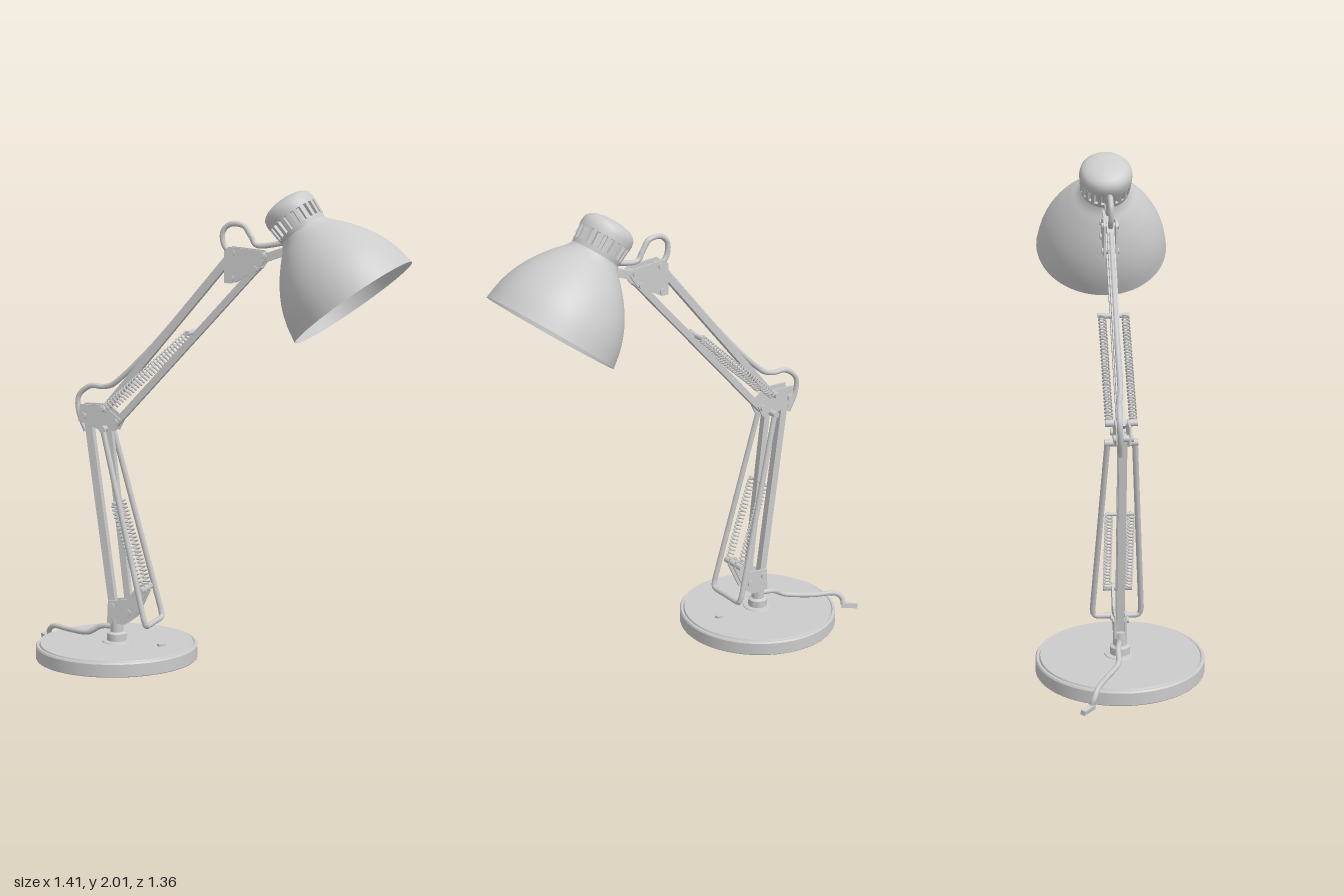
import * as THREE from 'three';
import { toCreasedNormals } from 'three/addons/utils/BufferGeometryUtils.js';

const grey = new THREE.MeshStandardMaterial({ color: 0xcccccc });
const greyDouble = new THREE.MeshStandardMaterial({ color: 0xcccccc, side: THREE.DoubleSide });
const bulbGlass = new THREE.MeshStandardMaterial({ color: 0xcccc80 });

const V = (x, y, z = 0) => new THREE.Vector3(x, y, z);
const UP = V(0, 1, 0);

function add(parent, name, geometry, material = grey) {
  const mesh = new THREE.Mesh(geometry, material);
  mesh.name = name;
  parent.add(mesh);
  return mesh;
}

function lathe(points, segments = 64) {
  return new THREE.LatheGeometry(points.map(([r, y]) => new THREE.Vector2(r, y)), segments);
}

// Straight bar between two points, square or round
function strut(parent, name, a, b, width, round = false) {
  const length = a.distanceTo(b);
  const geometry = round
    ? new THREE.CylinderGeometry(width / 2, width / 2, length, 16)
    : new THREE.BoxGeometry(width, length, width);
  const mesh = add(parent, name, geometry);
  mesh.position.copy(a).lerp(b, 0.5);
  mesh.quaternion.setFromUnitVectors(UP, b.clone().sub(a).normalize());
  return mesh;
}

// Cross pin through the arm plane
function pin(parent, name, x, y, half, width = 0.028) {
  strut(parent, name, V(x, y, -half), V(x, y, half), width, true);
}

function tube(parent, name, points, radius, tension = 0.5) {
  const curve = new THREE.CatmullRomCurve3(points, false, 'catmullrom', tension);
  return add(parent, name, new THREE.TubeGeometry(curve, 80, radius, 8));
}

// Pair of flat plates on either side of the arm plane
function plates(parent, name, outline, offset) {
  const shape = new THREE.Shape(outline.map(([x, y]) => new THREE.Vector2(x, y)));
  const geometry = new THREE.ExtrudeGeometry(shape, { depth: 0.008, bevelEnabled: false });
  for (const side of [-1, 1]) add(parent, name, geometry).position.z = side * offset - 0.004;
}

class Helix extends THREE.Curve {
  constructor(length, radius, turns) {
    super();
    Object.assign(this, { length, radius, turns });
  }
  getPoint(t, target = new THREE.Vector3()) {
    const a = t * this.turns * Math.PI * 2;
    return target.set(Math.cos(a) * this.radius, t * this.length, Math.sin(a) * this.radius);
  }
}

function springPair(parent, name, a, b, offset) {
  const length = a.distanceTo(b);
  const turns = Math.round(length / 0.0165);
  const geometry = new THREE.TubeGeometry(new Helix(length, 0.0145, turns), turns * 12, 0.0035, 5);
  for (const side of [-1, 1]) {
    const mesh = add(parent, name, geometry);
    mesh.position.set(a.x, a.y, side * offset);
    mesh.quaternion.setFromUnitVectors(UP, b.clone().sub(a).normalize());
  }
}

function buildBase(root) {
  const base = new THREE.Group();
  base.name = 'base';
  add(base, 'baseDisc', toCreasedNormals(lathe([
    [0, 0.045], [0.065, 0.045], [0.065, 0.02], [0.325, 0.02], [0.33, 0], [0.348, 0], [0.35, 0.003],
    [0.35, 0.055], [0.345, 0.062], [0.337, 0.062], [0.334, 0.058], [0.33, 0.066], [0, 0.068],
  ], 96), 0.5));
  add(base, 'swivelStem', toCreasedNormals(lathe([
    [0.065, 0.066], [0.062, 0.072], [0.042, 0.074], [0.042, 0.105], [0.028, 0.112], [0.028, 0.17], [0, 0.17],
  ], 32), 0.5));
  const button = add(base, 'baseButton', new THREE.CylinderGeometry(0.018, 0.018, 0.012, 20));
  button.position.set(0.155, 0.07, 0.14);
  root.add(base);
}

function buildLowerArm(arm) {
  plates(arm, 'baseBracket', [[-0.035, 0.15], [0.05, 0.15], [0.09, 0.18], [0.15, 0.3], [0.14, 0.33],
    [0.11, 0.33], [0.06, 0.26], [-0.03, 0.25]], 0.022);
  strut(arm, 'rearLowerBar', V(-0.008, 0.18), V(-0.125, 1.06), 0.032);
  strut(arm, 'frontLowerBar', V(0.066, 0.17), V(-0.03, 1.02), 0.028);
  pin(arm, 'baseBracketPin', -0.012, 0.225, 0.034);
  pin(arm, 'baseBracketPin', 0.062, 0.205, 0.034);
  // Springs hang between the bracket and a pin on the front bar
  pin(arm, 'lowerSpringPin', 0.132, 0.31, 0.06);
  pin(arm, 'lowerSpringPin', 0.01, 0.68, 0.055, 0.014);
  springPair(arm, 'lowerSpring', V(0.128, 0.315), V(0.01, 0.68), 0.045);
  // U-shaped wire from the elbow down around the bracket
  const wire = [[-0.035, 1.0, 0.055], [0.165, 0.2, 0.102], [0.172, 0.172, 0.098], [0.172, 0.165, 0.08]];
  const half = wire.map(([x, y, z]) => V(x, y, z));
  const path = new THREE.CurvePath();
  const corners = [...half, ...half.map((p) => V(p.x, p.y, -p.z)).reverse()];
  for (let i = 1; i < corners.length; i++) path.add(new THREE.LineCurve3(corners[i - 1], corners[i]));
  add(arm, 'counterWire', new THREE.TubeGeometry(path, 240, 0.012, 10));
}

function buildElbow(arm) {
  plates(arm, 'elbowPlate', [[-0.16, 1.03], [-0.15, 1.1], [-0.04, 1.1], [0.035, 1.04], [0.01, 0.99],
    [-0.07, 0.995]], 0.026);
  const pins = [[-0.135, 1.05, 0.04], [-0.035, 1.0, 0.068], [0.01, 1.03, 0.04], [-0.045, 1.085, 0.065]];
  for (const [x, y, half] of pins) pin(arm, 'elbowPin', x, y, half);
}

function buildUpperArm(arm) {
  strut(arm, 'rearUpperBar', V(-0.055, 1.07), V(0.54, 1.76), 0.03);
  strut(arm, 'frontUpperBar', V(0.0, 1.015), V(0.645, 1.705), 0.028);
  pin(arm, 'upperSpringPin', 0.35, 1.42, 0.065, 0.022);
  springPair(arm, 'upperSpring', V(-0.03, 1.085), V(0.35, 1.42), 0.048);
  // Bracket between arm and shade
  plates(arm, 'headBracket', [[0.5, 1.63], [0.535, 1.63], [0.65, 1.69], [0.685, 1.74], [0.66, 1.765],
    [0.52, 1.78], [0.5, 1.76]], 0.025);
  for (const [x, y] of [[0.535, 1.755], [0.63, 1.69], [0.53, 1.65], [0.66, 1.745]]) {
    pin(arm, 'headBracketPin', x, y, 0.036, 0.026);
  }
  strut(arm, 'shadeLink', V(0.62, 1.72), V(0.79, 1.775), 0.034);
}

function buildCable(root, arm) {
  // Slack loops at elbow and head
  tube(arm, 'elbowCable', [V(-0.14, 0.98, -0.01), V(-0.175, 1.06, -0.015), V(-0.175, 1.13, -0.018),
    V(-0.12, 1.175, -0.015), V(-0.05, 1.175, -0.01), V(0.02, 1.21, 0), V(0.2, 1.385, 0), V(0.5, 1.73, 0)], 0.0115);
  tube(arm, 'headCable', [V(0.53, 1.74), V(0.49, 1.785), V(0.485, 1.84), V(0.52, 1.872), V(0.575, 1.865),
    V(0.605, 1.825), V(0.64, 1.785), V(0.76, 1.8)], 0.0115);
  // Mains lead over the back of the base, in floor coordinates
  tube(root, 'mainsCable', [V(0.0, 0.13, 0), V(-0.05, 0.125, -0.06), V(-0.1, 0.09, -0.11), V(-0.145, 0.08, -0.22),
    V(-0.19, 0.08, -0.31), V(-0.205, 0.055, -0.345), V(-0.2, 0.026, -0.355)], 0.0115);
  strut(root, 'mainsCableEnd', V(-0.2, 0.018, -0.345), V(-0.214, 0.018, -0.418), 0.02);
}

function buildHead(arm) {
  const head = new THREE.Group();
  head.name = 'lampHead';
  head.position.set(1.044, 1.56, 0);
  head.rotation.z = THREE.MathUtils.degToRad(36.5);
  const profile = new THREE.SplineCurve([[0.287, 0], [0.273, 0.08], [0.247, 0.155], [0.205, 0.23],
    [0.155, 0.295], [0.118, 0.335], [0.1, 0.365]].map(([r, y]) => new THREE.Vector2(r, y)));
  add(head, 'shade', new THREE.LatheGeometry(profile.getPoints(32), 72), greyDouble);
  // Vented cap: recessed core, ribs, lower band and dome
  add(head, 'capCore', new THREE.CylinderGeometry(0.097, 0.092, 0.1, 40)).position.y = 0.405;
  add(head, 'capBand', toCreasedNormals(lathe([
    [0.09, 0.352], [0.103, 0.354], [0.106, 0.378], [0.09, 0.378]], 48), 0.5));
  add(head, 'capDome', toCreasedNormals(lathe([
    [0.09, 0.434], [0.112, 0.434], [0.113, 0.455], [0.109, 0.475], [0.098, 0.489], [0.08, 0.499],
    [0.05, 0.507], [0, 0.511]], 48), 0.6));
  const ribGeometry = new THREE.BoxGeometry(0.016, 0.064, 0.015);
  const ribCount = 22;
  for (let i = 0; i < ribCount; i++) {
    const a = (i / ribCount) * Math.PI * 2;
    const rib = add(head, 'capRib', ribGeometry);
    rib.position.set(Math.cos(a) * 0.1015, 0.406, Math.sin(a) * 0.1015);
    rib.rotation.set(0, -a, -0.08);
  }
  // Socket and bulb
  add(head, 'bulbSocket', new THREE.CylinderGeometry(0.045, 0.05, 0.11, 28)).position.y = 0.325;
  add(head, 'bulb', lathe([[0, 0.115], [0.035, 0.122], [0.065, 0.142], [0.083, 0.172], [0.085, 0.205],
    [0.072, 0.24], [0.05, 0.27], [0.038, 0.3]], 36), bulbGlass);
  arm.add(head);
}

export function createModel() {
  const model = new THREE.Group();
  model.name = 'deskLamp';
  const root = new THREE.Group();
  root.name = 'lamp';
  root.position.set(-0.355, 0, -0.255);
  model.add(root);

  // The arm lies in one vertical plane turned about the stem
  const arm = new THREE.Group();
  arm.name = 'arm';
  arm.rotation.y = THREE.MathUtils.degToRad(-40);
  root.add(arm);

  buildBase(root);
  buildLowerArm(arm);
  buildElbow(arm);
  buildUpperArm(arm);
  buildHead(arm);
  buildCable(root, arm);
  return model;
}
